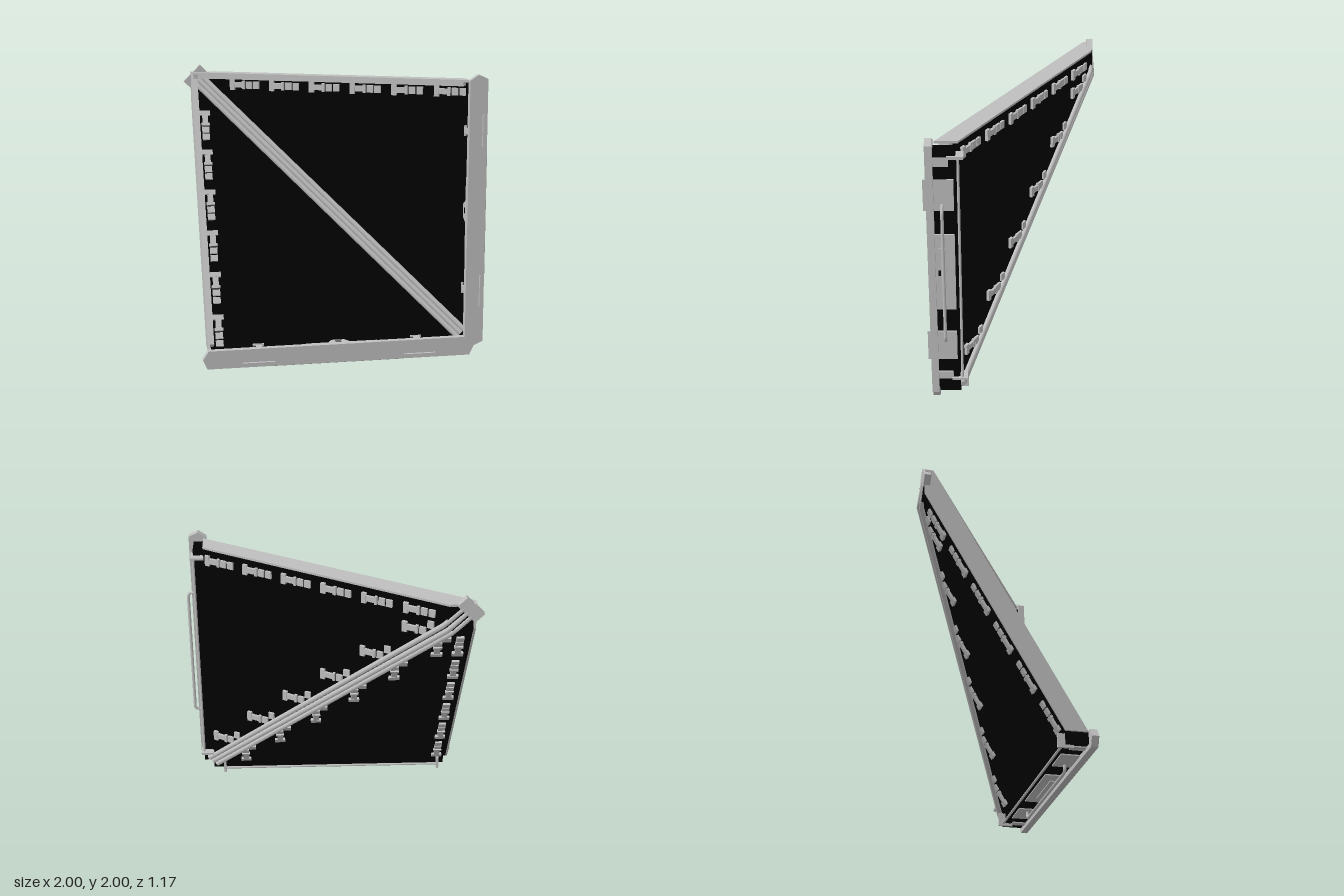
import * as THREE from 'three';

const SLOPE = 0.565, TILT = Math.atan(SLOPE), COS = Math.cos(TILT), Z0 = -0.126;

const mat = (name, color) => {
  const m = new THREE.MeshStandardMaterial({ color });
  m.name = name;
  return m;
};
const grey = mat('metal grey', 0xbfbfbf);
const black = mat('panel black', 0x010101);

function add(parent, name, geometry, material) {
  const mesh = new THREE.Mesh(geometry, material);
  mesh.name = name;
  parent.add(mesh);
  return mesh;
}

// box given by its limits on each axis
function box(parent, name, material, [x0, x1], [y0, y1], [z0, z1]) {
  const g = new THREE.BoxGeometry(x1 - x0, y1 - y0, z1 - z0);
  g.translate((x0 + x1) / 2, (y0 + y1) / 2, (z0 + z1) / 2);
  return add(parent, name, g, material);
}

function prism(points, depth) {
  const shape = new THREE.Shape(points.map(([x, y]) => new THREE.Vector2(x, y)));
  return new THREE.ExtrudeGeometry(shape, { depth, bevelEnabled: false });
}

// round rod through points, with straight runs
function rod(parent, name, points, radius) {
  const curve = new THREE.CatmullRomCurve3(points, false, 'catmullrom', 0);
  return add(parent, name, new THREE.TubeGeometry(curve, 48, radius, 8), grey);
}

// T-shaped clamp with two small pads, lying on a panel face; lift steps the pads upward
function clamp(parent, s, y, outer, lift = 0) {
  const g = new THREE.Group();
  g.name = 'clamp';
  parent.add(g);
  g.position.set(s, y, outer ? 0 : 0.04);
  if (outer) g.rotation.y = Math.PI;
  box(g, 'clampHead', grey, [-0.02, 0.015], [-0.038, 0.038], [0, 0.02]);
  box(g, 'clampStem', grey, [0.015, 0.08], [-0.02, 0.02], [0, 0.018]);
  box(g, 'clampFoot', grey, [0.075, 0.095], [-0.03, 0.03], [0, 0.02]);
  [0.105, 0.16].forEach((x, i) => {
    const dy = lift * i;
    box(g, 'clampPad', grey, [x, x + 0.045], [dy - 0.026, dy + 0.026], [0, 0.016]);
  });
}

// triangular wing panel, in its own tilted frame: -z faces outward
function wing() {
  const g = new THREE.Group();
  g.name = 'wing';
  g.position.z = Z0;
  g.rotation.y = -TILT;
  const S = x => x / COS;
  add(g, 'panel', prism([[S(0.86), 0.14], [S(0.86), 1.935], [S(-0.78), 1.935], [S(-0.78), 1.78]], 0.04), black);
  box(g, 'frameLip', grey, [-0.96, 1.01], [1.905, 1.937], [0.05, 0.13]);
  for (let i = 0; i < 6; i++) {
    const x = -0.65 + i * 0.266;
    // slat seam and the clamps along the outer edge and the fold
    box(g, 'slatRib', black, [S(x) - 0.01, S(x) + 0.01], [1.03 - x, 1.93], [-0.003, 0.044]);
    clamp(g, S(x) + 0.025, 1.86, false);
    clamp(g, S(x) + 0.16, 1.86, true);
    clamp(g, S(x) + 0.165, 1.72 - i * 0.266, true, 0.055);
  }
  return g;
}

// straight edge beam on the front, with its fittings
function beam() {
  const g = new THREE.Group();
  g.name = 'edgeBeam';
  const plate = prism([[0.835, 0.165], [0.9, 0.1], [0.965, 0.13], [0.965, 1.96], [0.9, 1.99], [0.84, 1.95]], 0.048);
  plate.translate(0, 0, 0.518);
  add(g, 'frontPlate', plate, grey);
  box(g, 'beamWall', black, [0.852, 0.93], [0.14, 1.92], [0.375, 0.519]);
  // outer plates; the side plates pass through the front as thin blades
  box(g, 'centrePlate', grey, [0.93, 0.938], [0.77, 1.33], [0.39, 0.519]);
  box(g, 'centreLatch', grey, [0.938, 0.945], [0.87, 1.23], [0.45, 0.5]);
  box(g, 'latchHole', black, [0.945, 0.947], [1.03, 1.07], [0.485, 0.5]);
  for (const [a, b] of [[0.38, 0.6], [1.5, 1.72]]) {
    box(g, 'sidePlate', grey, [0.93, 0.938], [a, b], [0.39, 0.586]);
  }
  for (const [a, b] of [[0.22, 0.28], [1.81, 1.87]]) {
    box(g, 'endPlate', grey, [0.93, 0.938], [a, b], [0.42, 0.519]);
  }
  // inner plates and clips
  const inner = prism([[0.518, 0.73], [0.518, 1.32], [0.492, 1.27], [0.492, 0.78]], 0.01);
  inner.rotateY(-Math.PI / 2).translate(0.853, 0, 0);
  add(g, 'innerPlate', inner, grey);
  const latch = prism([[0.518, 0.96], [0.518, 1.13], [0.45, 1.09], [0.45, 1.0]], 0.014);
  latch.rotateY(-Math.PI / 2).translate(0.853, 0, 0);
  add(g, 'innerLatch', latch, grey);
  box(g, 'innerLatchHole', black, [0.836, 0.839], [1.03, 1.07], [0.485, 0.5]);
  for (const y of [0.49, 1.6]) {
    box(g, 'clipStem', grey, [0.84, 0.853], [y - 0.02, y + 0.02], [0.45, 0.519]);
    box(g, 'clipHead', grey, [0.838, 0.853], [y - 0.038, y + 0.038], [0.445, 0.46]);
  }
  // rear rod held by two brackets
  for (const y of [0.225, 1.872]) {
    box(g, 'rodBracket', grey, [0.855, 0.95], [y - 0.009, y + 0.009], [0.325, 0.43]);
  }
  rod(g, 'rearRod', [new THREE.Vector3(0.93, 0.22, 0.36), new THREE.Vector3(0.93, 1.875, 0.36)], 0.009);
  // grab handle
  const pts = [[0.93, 1.54], [0.975, 1.54], [0.988, 1.52], [0.988, 0.57], [0.975, 0.55], [0.93, 0.55]];
  rod(g, 'handle', pts.map(([x, y]) => new THREE.Vector3(x, y, 0.465)), 0.011);
  return g;
}

// copy reflected across the fold: (x, y, z) -> (1 - y, 1 - x, z)
function reflect(source) {
  const out = new THREE.Group();
  out.name = 'reflectedHalf';
  const M = new THREE.Matrix4().set(0, -1, 0, 1, -1, 0, 0, 1, 0, 0, 1, 0, 0, 0, 0, 1);
  source.updateMatrixWorld(true);
  source.traverse(o => {
    if (!o.isMesh) return;
    const g = o.geometry.clone().applyMatrix4(M.clone().multiply(o.matrixWorld));
    const n = g.index ? g.index.count : g.attributes.position.count;
    const order = Array.from({ length: n }, (_, i) => (g.index ? g.index.getX(i) : i));
    for (let i = 0; i < n; i += 3) [order[i + 1], order[i + 2]] = [order[i + 2], order[i + 1]];
    g.setIndex(order);
    add(out, o.name, g, o.material);
  });
  return out;
}

export function createModel() {
  const model = new THREE.Group();
  model.name = 'foldedWingPanel';

  const half = new THREE.Group();
  half.name = 'half';
  half.add(wing(), beam());
  // wide band along the sloping edge, drawn in plan (x, -z)
  const band = prism([[-0.95, 0.51], [0.86, -0.51], [0.86, -0.36], [-0.77, 0.565], [-0.95, 0.565]], 0.015);
  band.rotateX(-Math.PI / 2).translate(0, 1.934, 0);
  add(half, 'edgeBand', band, grey);
  model.add(half, reflect(half));

  // rods along the fold: three inside, three outside, bent at the apex and foot
  const lat = new THREE.Vector3(1, 1, 0).normalize();
  const inward = new THREE.Vector3(-SLOPE / 2, SLOPE / 2, 1).normalize();
  const at = (x, l, w) => new THREE.Vector3(x, 1 - x, SLOPE * x + Z0)
    .addScaledVector(lat, l).addScaledVector(inward, w);
  for (const k of [-1, 0, 1]) {
    rod(model, 'innerFoldRod', [at(-0.87, k * 0.034, 0.108), at(0.865, k * 0.034, 0.108)], 0.019);
    const foot = at(0.87, k * 0.04, 0), w = k ? 0 : -0.012;
    const pts = [at(-0.89, k * 0.04, 0).setZ(-0.56), at(-0.77, k * 0.04, w), foot, foot.clone().setZ(0.53)];
    rod(model, 'outerFoldRod', pts, 0.019);
  }
  // web carrying the inner rods
  const web = add(model, 'foldWeb', new THREE.BoxGeometry(0.05, 2.55, 0.07), grey);
  const along = new THREE.Vector3().crossVectors(inward, lat);
  web.quaternion.setFromRotationMatrix(new THREE.Matrix4().makeBasis(lat, along, inward));
  web.position.copy(at(0.02, 0, 0.07));

  // apex cap and corner filler
  const cap = add(model, 'apexCap', new THREE.BoxGeometry(0.17, 0.085, 0.045), grey);
  cap.position.set(-0.91, 1.91, -0.553);
  cap.rotation.z = Math.PI / 4;
  box(model, 'cornerFiller', black, [-0.93, -0.76], [1.76, 1.93], [-0.57, -0.55]);
  return model;
}
